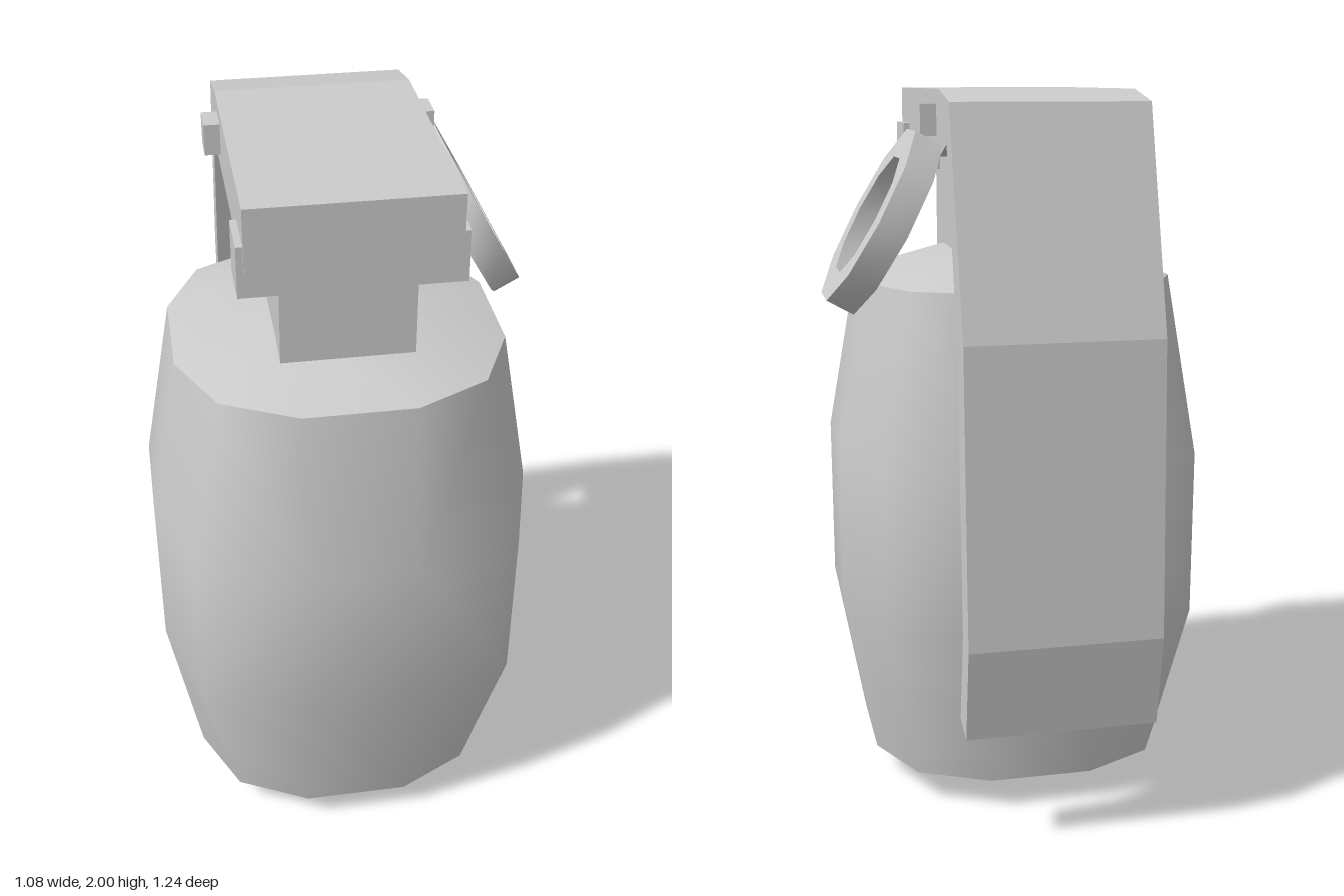
import * as THREE from 'three';
import { mergeVertices, toCreasedNormals } from 'three/addons/utils/BufferGeometryUtils.js';

const CX = -0.015, CZ = 0.1, A = 0.145; // body axis and half width of the flat strips
const material = new THREE.MeshStandardMaterial({ color: 0xcccccc });

// Twelve-sided section: flat strips at distance r, corners at (c, c)
function section(y, r, c) {
  const points = [];
  for (let q = 0; q < 4; q++) {
    for (let [x, z] of [[-A, r], [A, r], [c, c]]) {
      for (let k = 0; k < q; k++) [x, z] = [z, -x];
      points.push(x, y, z);
    }
  }
  return points;
}

// Joins sections listed from bottom to top; corner quads split toward the narrower rim
function loft(sections, closeTop = false, closeBottom = false) {
  const index = [];
  const n = sections.length;
  for (let s = 0; s < n - 1; s++) {
    const upperHalf = s >= (n - 1) / 2;
    for (let i = 0; i < 12; i++) {
      const j = (i + 1) % 12;
      const a = s * 12 + i, b = s * 12 + j, c = b + 12, d = a + 12;
      const splitAC = upperHalf ? i % 3 === 1 : i % 3 === 2;
      if (splitAC) index.push(a, b, c, a, c, d);
      else index.push(a, b, d, b, c, d);
    }
  }
  const t = (n - 1) * 12;
  if (closeTop) index.push(t + 1, t + 4, t + 7, t + 1, t + 7, t + 10);
  if (closeBottom) index.push(1, 7, 4, 1, 10, 7);
  let geometry = new THREE.BufferGeometry();
  geometry.setAttribute('position', new THREE.Float32BufferAttribute(sections.flat(), 3));
  geometry.setIndex(index);
  geometry = mergeVertices(geometry);
  geometry.computeVertexNormals();
  return geometry;
}

export function createModel() {
  const group = new THREE.Group();
  const add = (name, geometry, x, y, z) => {
    const mesh = new THREE.Mesh(geometry, material);
    mesh.name = name;
    mesh.position.set(x, y, z);
    group.add(mesh);
  };
  const box = (name, x0, x1, y0, y1, z0, z1) =>
    add(name, new THREE.BoxGeometry(x1 - x0, y1 - y0, z1 - z0),
      (x0 + x1) / 2, (y0 + y1) / 2, (z0 + z1) / 2);

  // Barrel-shaped body with separate shallow caps for crisp rims
  const bottomRim = section(0.09, 0.435, 0.34);
  const topRim = section(1.48, 0.435, 0.34);
  add('bodyShell', loft([bottomRim, section(0.56, 0.52, 0.432), section(1.02, 0.52, 0.432), topRim]), CX, 0, CZ);
  add('bodyTop', loft([topRim, section(1.56, A, A)], true), CX, 0, CZ);
  add('bodyBottom', loft([section(0, A, A), bottomRim], false, true), CX, 0, CZ);

  // Neck, front hinge bar and cross pin
  box('neck', -0.19, 0.155, 1.53, 1.85, -0.16, 0.36);
  box('hingeBar', -0.295, 0.262, 1.765, 1.9, 0.29, 0.43);
  box('crossPin', -0.32, 0.287, 1.88, 1.963, -0.205, -0.12);

  // Lever: thick head bending down along the back, drawn as (z, y)
  const profile = [
    [0.44, 2], [0.44, 1.83], [-0.25, 1.83], [-0.36, 1.865], [-0.49, 1.36], [-0.535, 0.62],
    [-0.49, 0.365], [-0.572, 0.34], [-0.615, 0.6], [-0.575, 1.39], [-0.4, 1.97], [-0.25, 2],
  ].map(([z, y]) => new THREE.Vector2(z, y));
  const width = 0.522;
  const lever = new THREE.ExtrudeGeometry(new THREE.Shape(profile), { depth: width, bevelEnabled: false });
  lever.translate(0, 0, -width / 2).rotateY(-Math.PI / 2);
  add('lever', lever, -0.017, 0, 0);

  // Ten-sided pull ring leaning outward on the left side
  const decagon = (r) => Array.from({ length: 10 }, (_, i) =>
    new THREE.Vector2(r * Math.cos(i * Math.PI / 5), r * Math.sin(i * Math.PI / 5)));
  const ringShape = new THREE.Shape(decagon(0.26));
  ringShape.holes.push(new THREE.Path(decagon(0.175)));
  const ring = new THREE.ExtrudeGeometry(ringShape, { depth: 0.08, bevelEnabled: false });
  ring.translate(0, 0, -0.04).rotateY(Math.PI / 2).rotateZ(0.51);
  ring.deleteAttribute('uv');
  add('pullRing', toCreasedNormals(ring, 0.7), 0.39, 1.66, -0.163);

  return group;
}
